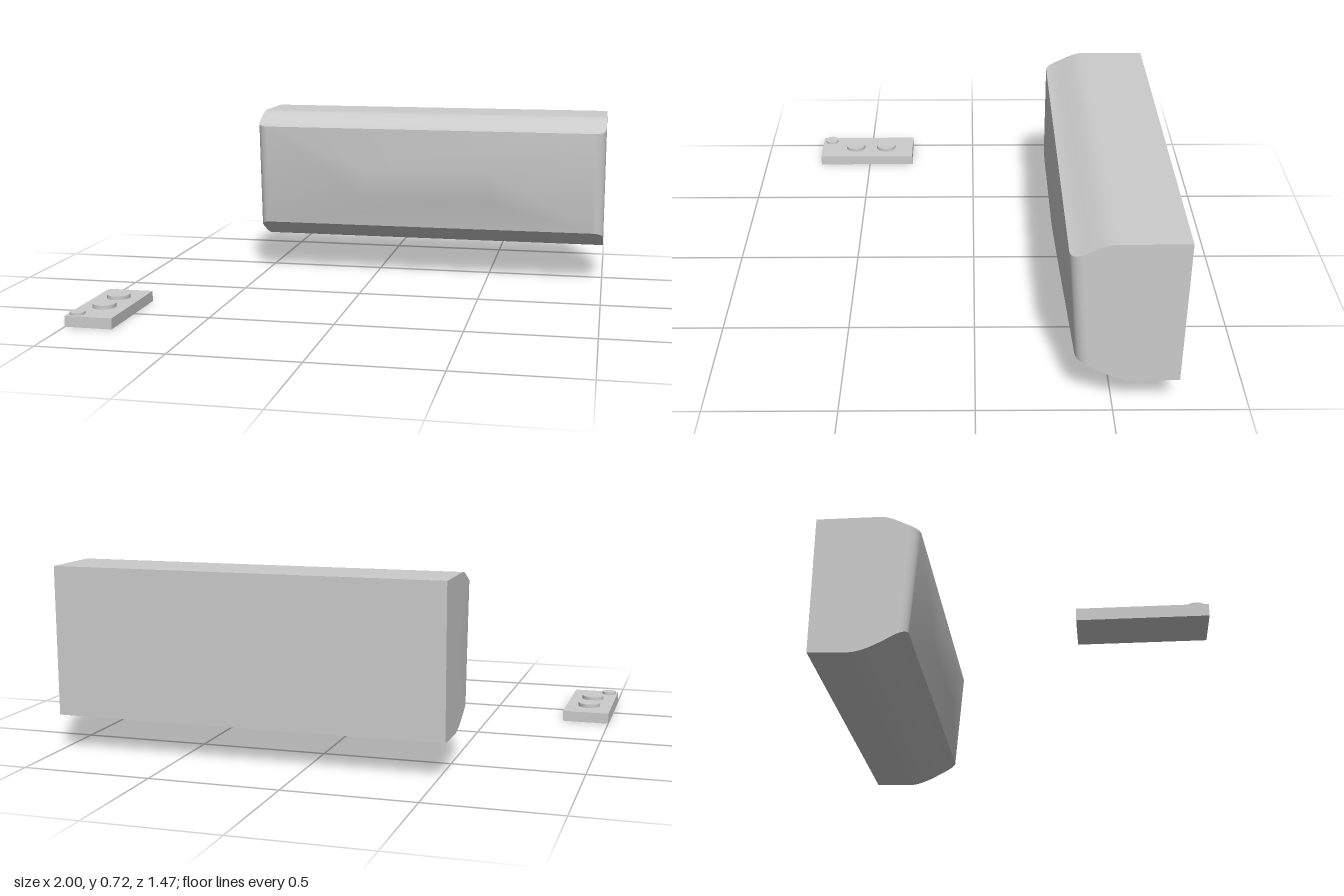
import * as THREE from 'three';
import { toCreasedNormals } from 'three/addons/utils/BufferGeometryUtils.js';

const material = new THREE.MeshStandardMaterial({ color: 0xcccccc });

// Cubic from (z0, y0) with slope 0 to (z1, y1) with slope s1; flat before z0
function ease(z, z0, y0, z1, y1, s1) {
  const t = (z - z0) / (z1 - z0);
  if (t <= 0) return y0;
  return y0 + (y1 - y0) * t * t * (3 - 2 * t) + s1 * (z1 - z0) * t * t * (t - 1);
}
const topY = z => ease(z, -0.48, 0.72, -0.32, 0.662, -0.2);
const bottomY = z => ease(z, -0.58, 0.134, -0.355, 0.225, 0.45);
const frontZ = y => -0.355 + (y - 0.225) * 0.08;

const BACK = -0.735, STEPS = 14;

// Front limit of a top or bottom curve, set back by d
function limit(curve, d) {
  let z = -0.34;
  for (let i = 0; i < 12; i++) z = frontZ(curve(z)) - d;
  return z;
}

// Cross-section of the housing at x: top edge forwards, then bottom edge backwards
function section(x, d) {
  const ring = [new THREE.Vector3(x, 0.72, BACK)];
  const zt = limit(topY, d), zb = limit(bottomY, d);
  for (let i = 0; i <= STEPS; i++) {
    const z = THREE.MathUtils.lerp(-0.48, zt, i / STEPS);
    ring.push(new THREE.Vector3(x, topY(z), z));
  }
  for (let i = STEPS; i >= 0; i--) {
    const z = THREE.MathUtils.lerp(-0.58, zb, i / STEPS);
    ring.push(new THREE.Vector3(x, bottomY(z), z));
  }
  ring.push(new THREE.Vector3(x, 0.14, BACK));
  return ring;
}

function housingGeometry() {
  const positions = [];
  const tri = (...points) => points.forEach(p => positions.push(p.x, p.y, p.z));
  const quad = (a, b, c, e) => { tri(a, b, c); tri(a, c, e); };

  // Stations along x, with rounded vertical front corners
  const left = [], right = [], R = 0.045, N = 6;
  for (let i = 0; i <= N; i++) {
    const a = (i / N) * Math.PI / 2;
    const dx = R * (1 - Math.cos(a)), d = R * (1 - Math.sin(a));
    left.push(section(-0.53 + dx, d));
    right.unshift(section(1 - dx, d));
  }
  const rings = [...left, ...right];
  const frontEdge = STEPS + 1, count = rings[0].length;

  for (let s = 0; s < rings.length - 1; s++) {
    const a = rings[s], b = rings[s + 1];
    for (let i = 0; i < count; i++) {
      if (s === N && i === frontEdge) continue; // the faceted panel goes here
      const j = (i + 1) % count;
      quad(a[i], a[j], b[j], b[i]);
    }
  }

  // Faceted front panel
  const outer = [left[N][frontEdge], left[N][frontEdge + 1], right[0][frontEdge + 1], right[0][frontEdge]];
  const inner = [[-0.04, 0.49, -0.291], [-0.04, 0.35, -0.315], [0.5, 0.35, -0.315], [0.5, 0.49, -0.291]]
    .map(p => new THREE.Vector3(...p));
  for (let k = 0; k < 4; k++) {
    const n = (k + 1) % 4;
    quad(outer[k], outer[n], inner[n], inner[k]);
  }
  quad(...inner);

  // End caps
  for (const [ring, flip] of [[rings[0], true], [rings[rings.length - 1], false]]) {
    const centre = new THREE.Vector3(ring[0].x, 0.43, -0.55);
    for (let i = 0; i < count; i++) {
      const a = ring[i], b = ring[(i + 1) % count];
      if (flip) tri(centre, b, a); else tri(centre, a, b);
    }
  }

  const geometry = new THREE.BufferGeometry();
  geometry.setAttribute('position', new THREE.Float32BufferAttribute(positions, 3));
  return toCreasedNormals(geometry, 0.5);
}

function addMesh(parent, name, geometry, x = 0, y = 0, z = 0) {
  const mesh = new THREE.Mesh(geometry, material);
  mesh.name = name;
  mesh.position.set(x, y, z);
  parent.add(mesh);
}

export function createModel() {
  const model = new THREE.Group();
  model.name = 'airConditioner';

  addMesh(model, 'wallUnit', housingGeometry());

  // Remote control with two large buttons and a small one
  const remote = new THREE.Group();
  remote.name = 'remoteControl';
  model.add(remote);
  addMesh(remote, 'remoteBody', new THREE.BoxGeometry(0.19, 0.043, 0.44), -0.905, 0.0215, 0.515);
  const buttons = [
    ['upperButton', -0.905, 0.425, 0.046, 0.058],
    ['lowerButton', -0.905, 0.573, 0.046, 0.058],
    ['smallButton', -0.964, 0.695, 0.03, 0.053],
  ];
  for (const [name, x, z, r, top] of buttons) {
    const h = top - 0.04;
    addMesh(remote, name, new THREE.CylinderGeometry(r, r, h, 32), x, top - h / 2, z);
  }
  return model;
}
